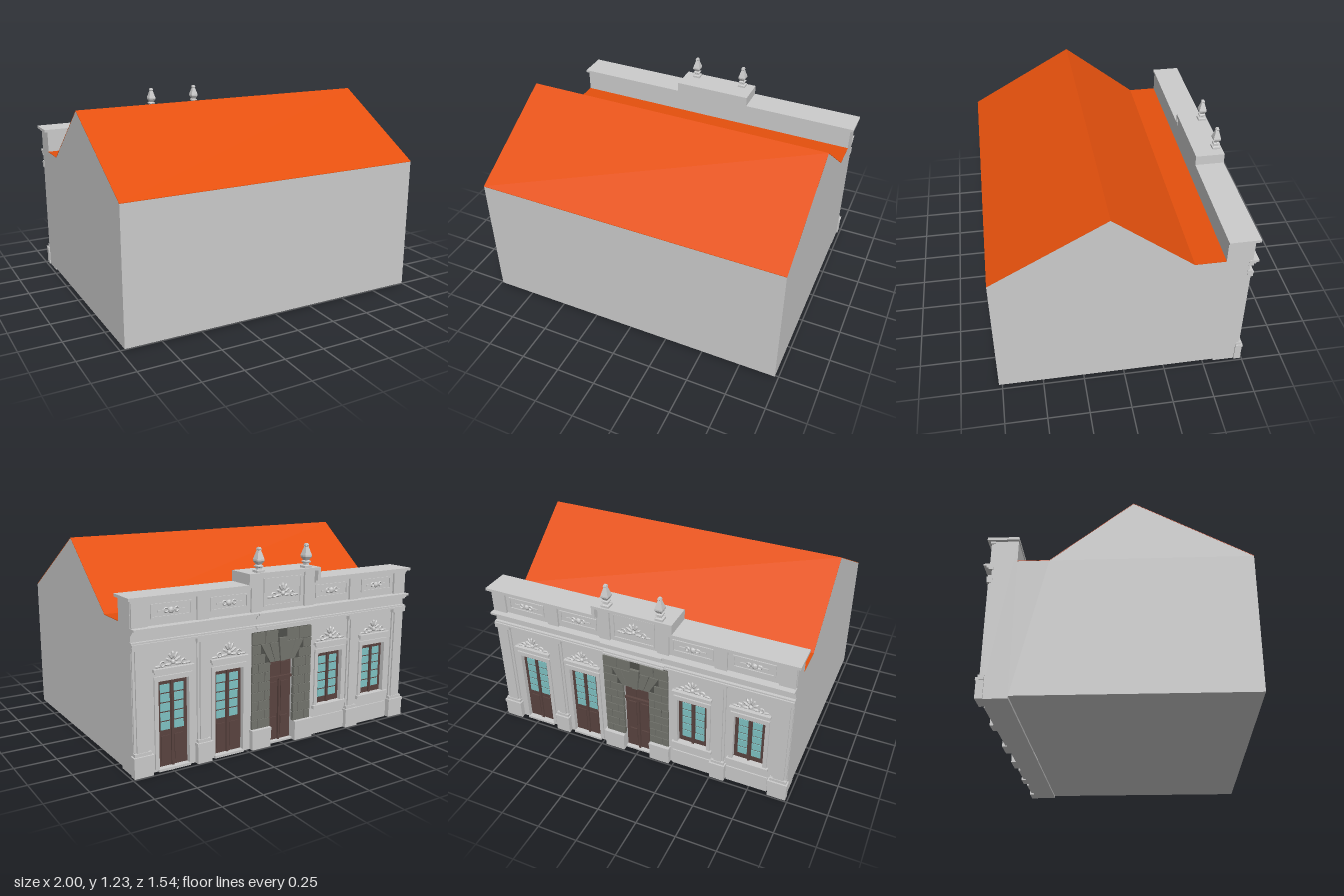
import * as THREE from 'three';

const mat = (color) => new THREE.MeshStandardMaterial({ color, flatShading: true });
const GREY = mat(0xcccccc), ROOF = mat(0xe5500d), STONE = mat(0x74756e), JOINT = mat(0x50514c);
const WOOD = mat(0x5a4440), GLASS = mat(0x80c4c6);
const WALL = -0.71; // outer plane of the street wall, which looks toward -z

function add(parent, name, geo, material = GREY, x = 0, y = 0, z = 0) {
  const m = new THREE.Mesh(geo, material);
  m.name = name;
  m.position.set(x, y, z);
  parent.add(m);
  return m;
}

// Box given by its limits; z0 is the outer (street) face
function block(parent, name, x0, x1, y0, y1, z0, z1 = WALL + 0.01, material = GREY) {
  return add(parent, name, new THREE.BoxGeometry(x1 - x0, y1 - y0, z1 - z0), material,
    (x0 + x1) / 2, (y0 + y1) / 2, (z0 + z1) / 2);
}

const poly = (pts) => new THREE.Shape(pts.map(([x, y]) => new THREE.Vector2(x, y)));
const rect = (x0, x1, y0, y1) => poly([[x0, y0], [x1, y0], [x1, y1], [x0, y1]]);
const extrude = (shape, depth) => new THREE.ExtrudeGeometry(shape, { depth, bevelEnabled: false, curveSegments: 6 });

// Rectangular moulding with an open middle
function frame(parent, name, x0, x1, y0, y1, t, z0) {
  const s = rect(x0, x1, y0, y1);
  s.holes.push(rect(x0 + t, x1 - t, y0 + t, y1 - t));
  add(parent, name, extrude(s, WALL + 0.005 - z0), GREY, 0, 0, z0);
}

// House body and its roof, both extruded along x from the gable outline
function house(root) {
  const slope = [[-0.77, 0.845], [-0.095, 1.225], [0.385, 0.845], [0.567, 0.845]];
  const along = (shape, name, material, half) => {
    const m = add(root, name, extrude(shape, 2 * half), material, -half, 0, 0);
    m.rotation.y = Math.PI / 2;
  };
  along(poly([[-0.77, 0.015], ...slope, [0.567, 0.015]]), 'houseBody', GREY, 0.98);
  const top = slope.map(([z, y]) => [z, y + 0.003]);
  along(poly([...top, ...slope.slice().reverse()]), 'roof', ROOF, 0.981);
}

// Double-leaf joinery; the panes sit above a wooden lower panel
function joinery(parent, cx, y0, y1, paneBottom) {
  const g = new THREE.Group();
  g.name = 'joinery';
  parent.add(g);
  block(g, 'woodBacking', cx - 0.095, cx + 0.095, y0, y1, -0.69, -0.66, WOOD);
  for (const s of [-1, 1]) {
    const c = cx + s * 0.043;
    const rows = 5, h = (y1 - 0.025 - paneBottom) / rows;
    for (let r = 0; r < rows; r++)
      block(g, 'pane', c - 0.029, c + 0.029, paneBottom + r * h + 0.004, paneBottom + (r + 1) * h - 0.004, -0.695, -0.68, GLASS);
    if (paneBottom - y0 > 0.1) block(g, 'lowerPanel', c - 0.028, c + 0.028, y0 + 0.03, paneBottom - 0.03, -0.696, -0.68, WOOD);
  }
  block(g, 'meetingStile', cx - 0.007, cx + 0.007, y0, y1, -0.7, -0.68, WOOD);
}

// Carved fan with a scroll on either side
function carving(parent, cx, y, k) {
  const g = new THREE.Group();
  g.name = 'carving';
  g.position.set(cx, y, WALL - 0.004);
  g.scale.set(k, k, 1);
  parent.add(g);
  for (let i = 0; i < 7; i++) {
    const a = (i / 6) * Math.PI;
    const leaf = add(g, 'fanLeaf', new THREE.SphereGeometry(1, 6, 4), GREY, Math.cos(a) * 0.03, 0.012 + Math.sin(a) * 0.05, 0);
    leaf.scale.set(0.022, 0.008, 0.009);
    leaf.rotation.z = a;
  }
  add(g, 'fanBoss', new THREE.SphereGeometry(0.013, 8, 6), GREY, 0, 0.022, 0);
  for (const s of [-1, 1]) {
    add(g, 'scroll', new THREE.TorusGeometry(0.013, 0.005, 4, 10), GREY, s * 0.062, 0.018, 0);
    const stem = add(g, 'scrollStem', new THREE.SphereGeometry(1, 6, 4), GREY, s * 0.088, 0.008, 0);
    stem.scale.set(0.02, 0.007, 0.008);
  }
}

function bay(parent, cx, isDoor) {
  const g = new THREE.Group();
  g.name = isDoor ? 'glazedDoorBay' : 'windowBay';
  parent.add(g);
  const low = isDoor ? 0.015 : 0.19;
  joinery(g, cx, low, 0.52, 0.225);
  for (const s of [-1, 1]) {
    const c = cx + s * 0.107;
    block(g, 'jamb', c - 0.012, c + 0.012, low, 0.52, -0.72);
  }
  block(g, 'lintel', cx - 0.119, cx + 0.119, 0.52, 0.548, -0.72);
  block(g, 'hoodMould', cx - 0.125, cx + 0.125, 0.575, 0.592, -0.733);
  block(g, 'hoodBed', cx - 0.115, cx + 0.115, 0.562, 0.575, -0.724);
  carving(g, cx, 0.594, 1.05);
  if (!isDoor) {
    block(g, 'sill', cx - 0.13, cx + 0.13, 0.168, 0.19, -0.732);
    block(g, 'plinth', cx - 0.13, cx + 0.13, 0, 0.11, -0.718);
  } else block(g, 'doorStep', cx - 0.1, cx + 0.1, 0, 0.015, -0.725);
}

// Rusticated entrance with a flat arch of wedge stones
function entrance(parent) {
  const g = new THREE.Group();
  g.name = 'entrance';
  parent.add(g);
  const rows = 7, h = 0.4 / rows;
  for (const s of [-1, 1]) {
    const across = (name, a, b, y0, y1, z, m, zi) =>
      block(g, name, Math.min(s * a, s * b), Math.max(s * a, s * b), y0, y1, z, zi, m);
    across('stoneBed', 0.09, 0.213, 0.12, 0.52, -0.715, JOINT);
    for (let r = 0; r < rows; r++) {
      const split = r % 2 ? 0.125 : 0.172, y = 0.12 + r * h;
      across('stone', 0.088, split - 0.002, y + 0.002, y + h - 0.002, -0.722, STONE);
      across('stone', split + 0.002, 0.215, y + 0.002, y + h - 0.002, -0.722, STONE);
    }
    across('doorPedestal', 0.09, 0.222, 0, 0.105, -0.742, GREY);
    across('doorPedestalCap', 0.087, 0.225, 0.105, 0.122, -0.746, GREY);
    for (const [y0, y1] of [[0.04, 0.16], [0.19, 0.38]])
      across('doorPanel', 0.016, 0.068, y0, y1, -0.692, WOOD, -0.67);
    across('transomPanel', 0.012, 0.076, 0.425, 0.5, -0.69, WOOD, -0.67);
  }
  block(g, 'doorLeaves', -0.095, 0.095, 0.012, 0.525, -0.684, -0.66, WOOD);
  block(g, 'transomBar', -0.09, 0.09, 0.4, 0.415, -0.7, -0.67, WOOD);
  block(g, 'meetingStile', -0.006, 0.006, 0.012, 0.4, -0.698, -0.67, WOOD);
  block(g, 'stoneBed', -0.213, 0.213, 0.52, 0.71, -0.715, WALL + 0.01, JOINT);
  // wedge stones fan out from the door head
  for (let i = -2; i <= 2; i++) {
    const a = (i - 0.5) * 0.036, b = (i + 0.5) * 0.036, up = i === 0 ? 0.66 : 0.635;
    add(g, 'wedgeStone', extrude(poly([[a + 0.001, 0.52], [b - 0.001, 0.52], [b * 1.75 - 0.002, up], [a * 1.75 + 0.002, up]]), 0.03),
      STONE, 0, 0, i === 0 ? -0.732 : -0.724);
  }
  for (const s of [-1, 1]) {
    for (let r = 0; r < 2; r++) {
      const y = 0.522 + r * 0.0575, inner = r ? 0.157 : 0.125;
      const [a, b] = s > 0 ? [inner, 0.215] : [-0.215, -inner];
      block(g, 'stone', a, b, y, y + 0.0535, -0.722, WALL + 0.01, STONE);
    }
    for (const [p, q] of [[0.034, 0.12], [0.124, 0.215]])
      block(g, 'stone', s > 0 ? p : -q, s > 0 ? q : -p, 0.638, 0.708, -0.722, WALL + 0.01, STONE);
  }
}

function pilaster(parent, cx, w) {
  const g = new THREE.Group();
  g.name = 'pilaster';
  parent.add(g);
  const slab = (name, extra, y0, y1, z) => block(g, name, cx - w / 2 - extra, cx + w / 2 + extra, y0, y1, z);
  slab('pedestal', 0.01, 0, 0.105, -0.742);
  slab('pedestalCap', 0.013, 0.105, 0.122, -0.746);
  slab('shaftBase', 0.004, 0.122, 0.14, -0.735);
  slab('shaftBacking', 0, 0.14, 0.71, -0.72);
  slab('shaft', -0.014, 0.14, 0.71, -0.73);
  slab('capital', 0.005, 0.71, 0.735, -0.735);
}

function finial(parent, x) {
  const profile = [[0, 0], [0.025, 0], [0.025, 0.014], [0.013, 0.018], [0.013, 0.028], [0.02, 0.033], [0.02, 0.04], [0.012, 0.045],
    [0.024, 0.066], [0.024, 0.075], [0.009, 0.127], [0.012, 0.131], [0.008, 0.144], [0, 0.146]];
  const pts = profile.map(([r, y]) => new THREE.Vector2(r * Math.SQRT2, y));
  add(parent, 'finial', new THREE.LatheGeometry(pts, 4, Math.PI / 4), GREY, x, 1.059, -0.708);
}

export function createModel() {
  const root = new THREE.Group();
  root.name = 'rowHouse';
  house(root);

  const facade = new THREE.Group();
  facade.name = 'streetFacade';
  root.add(facade);
  const bays = [0.73, 0.37, -0.37, -0.73];

  // Street wall with openings and a raised middle
  const wall = poly([[-0.98, 0], [0.98, 0], [0.98, 0.985], [0.24, 0.985], [0.24, 1.05], [-0.24, 1.05], [-0.24, 0.985], [-0.98, 0.985]]);
  for (const c of bays) wall.holes.push(rect(c - 0.095, c + 0.095, c > 0 ? 0.015 : 0.19, 0.52));
  wall.holes.push(rect(-0.09, 0.09, 0.012, 0.52));
  add(facade, 'streetWall', extrude(wall, 0.143), GREY, 0, 0, WALL);

  // Coping that follows the stepped parapet
  const coping = poly([[-1, 0.98], [-0.235, 0.98], [-0.235, 1.042], [0.235, 1.042], [0.235, 0.98], [1, 0.98],
    [1, 0.997], [0.255, 0.997], [0.255, 1.06], [-0.255, 1.06], [-0.255, 0.997], [-1, 0.997]]);
  add(facade, 'coping', extrude(coping, 0.183), GREY, 0, 0, -0.745);
  for (const s of [-1, 1])
    block(facade, 'copingBed', s > 0 ? 0.235 : -0.985, s > 0 ? 0.985 : -0.235, 0.966, 0.98, -0.728);

  for (const c of bays) bay(facade, c, c > 0);
  entrance(facade);
  for (const s of [-1, 1]) {
    pilaster(facade, s * 0.93, 0.095);
    pilaster(facade, s * 0.545, 0.075);
    finial(facade, s * 0.17);
  }

  // Stepped mouldings of the entablature, breaking forward over the entrance
  for (const [y0, y1, z] of [[0.735, 0.746, -0.737], [0.746, 0.755, -0.728], [0.795, 0.807, -0.73], [0.807, 0.819, -0.742], [0.819, 0.832, -0.759]]) {
    block(facade, 'entablatureMoulding', -0.982, 0.982, y0, y1, z);
    block(facade, 'centreMoulding', -0.2, 0.2, y0, y1, z - 0.01);
  }

  // Parapet piers, framed panels and ornaments
  for (const x of [-0.93, -0.545, -0.19, 0.19, 0.545, 0.93]) {
    const w = Math.abs(x) > 0.9 ? 0.047 : 0.036;
    block(facade, 'parapetPier', x - w, x + w, 0.832, Math.abs(x) < 0.2 ? 1.042 : 0.966, -0.724);
  }
  for (const c of [0.735, 0.37, -0.37, -0.735]) {
    frame(facade, 'parapetPanel', c - 0.125, c + 0.125, 0.868, 0.948, 0.01, -0.717);
    add(facade, 'panelBoss', new THREE.SphereGeometry(0.018, 8, 6), GREY, c, 0.905, WALL).scale.z = 0.7;
    for (const s of [-1, 1]) {
      add(facade, 'panelScroll', new THREE.TorusGeometry(0.012, 0.005, 4, 10), GREY, c + s * 0.032, 0.908, WALL - 0.003);
      block(facade, 'panelBar', c + s * 0.062 - 0.02, c + s * 0.062 + 0.02, 0.901, 0.911, -0.716);
    }
  }
  frame(facade, 'centrePanel', -0.135, 0.135, 0.855, 1.02, 0.009, -0.717);
  carving(facade, 0, 0.9, 1.05);
  return root;
}
